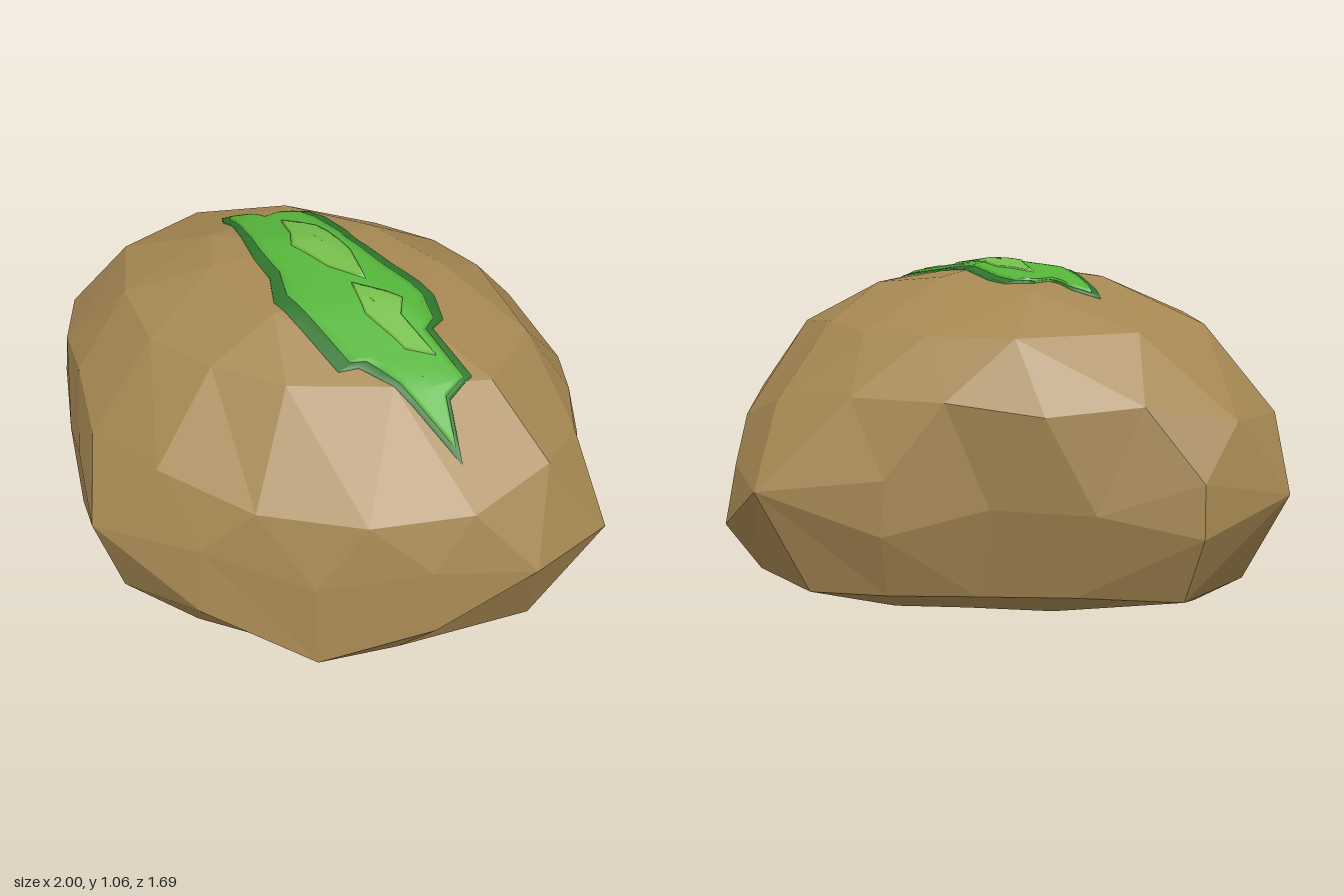
import * as THREE from 'three';
import { ConvexGeometry } from 'three/addons/geometries/ConvexGeometry.js';
import { mergeVertices } from 'three/addons/utils/BufferGeometryUtils.js';

const TAU = Math.PI * 2;
const WAIST = 0.43, TOP = 0.615; // height of the widest corners, and of the dome above them

// Widest loop as [x, y, z], sorted by angle: corners at waist height, dipping between them
const PLAN = [
  [1, 0.43, -0.05], [0.95, 0.43, 0.24], [0.76, 0.26, 0.45], [0.5, 0.14, 0.65], [0.18, 0.25, 0.78],
  [-0.17, 0.43, 0.84], [-0.42, 0.28, 0.64], [-0.6, 0.4, 0.5], [-0.78, 0.28, 0.32],
  [-1, 0.43, 0.04], [-0.9, 0.34, -0.25], [-0.66, 0.4, -0.41], [-0.38, 0.4, -0.52],
  [-0.14, 0.32, -0.7], [0.2, 0.43, -0.85], [0.49, 0.27, -0.7], [0.7, 0.17, -0.46], [0.8, 0.16, -0.22],
].map(([x, y, z]) => ({ angle: (Math.atan2(z, x) + TAU) % TAU, radius: Math.hypot(x, z), y }))
  .sort((a, b) => a.angle - b.angle);

function planAt(angle) {
  const a = (angle + TAU) % TAU, n = PLAN.length;
  for (let i = 0; i < n; i++) {
    const p = PLAN[i], q = PLAN[(i + 1) % n];
    const span = (q.angle - p.angle + TAU) % TAU, d = (a - p.angle + TAU) % TAU;
    if (d <= span) {
      const t = d / span;
      return { radius: THREE.MathUtils.lerp(p.radius, q.radius, t), y: THREE.MathUtils.lerp(p.y, q.y, t) };
    }
  }
  return PLAN[0];
}

function seeded(seed) {
  return () => {
    seed = (seed * 16807) % 2147483647;
    return seed / 2147483647 - 0.5;
  };
}

// Boulder: faceted unit sphere of uneven rings, warped to the plan, a dome and a shallow base
function makeRock() {
  const rand = seeded(77), points = [];
  const add = (angle, h) => {
    const r = Math.sqrt(1 - h * h);
    points.push(new THREE.Vector3(Math.cos(angle) * r, h, Math.sin(angle) * r));
  };
  PLAN.forEach((p, i) => {
    const q = PLAN[(i + 1) % PLAN.length];
    add(p.angle, 0);
    if (p.y < 0.35) add(p.angle, 0.18);
    add(p.angle + ((q.angle - p.angle + TAU) % TAU) / 2, 0.39 + rand() * 0.12);
  });
  for (const [count, h, start] of [[13, 0.72, 0.1], [7, 0.92, 0.3], [16, -0.48, 0.2], [12, -0.72, 0], [7, -0.93, 0.2]])
    for (let i = 0; i < count; i++)
      add(start + ((i + rand() * 0.35) / count) * TAU, h + rand() * 0.06);
  points.push(new THREE.Vector3(0, 1, 0), new THREE.Vector3(0, -1, 0));

  const geometry = new ConvexGeometry(points);
  const pos = geometry.attributes.position;
  for (let i = 0; i < pos.count; i++) {
    const x = pos.getX(i), h = pos.getY(i), z = pos.getZ(i);
    const rho = Math.min(1, Math.hypot(x, z)), angle = Math.atan2(z, x), plan = planAt(angle);
    const up = Math.max(0, h);
    // the cornered plan turns into an oval towards the top, leaning a little to one side
    const oval = 1 / Math.hypot(Math.cos(angle) / 0.97, Math.sin(angle) / 0.73);
    const radius = THREE.MathUtils.lerp(plan.radius, oval, Math.min(1, up * 1.3));
    const base = h > -1e-6 ? WAIST + TOP * h : 0.11 * rho ** 1.25 + 0.32 * rho ** 14;
    const dip = (plan.y - WAIST) * (1 - Math.abs(h)) ** 3;
    pos.setXYZ(i, x * radius - 0.05 * up * rho, Math.max(0, base + dip), z * radius);
  }
  geometry.computeVertexNormals();
  const rock = new THREE.Mesh(geometry, new THREE.MeshStandardMaterial({ color: 0xa58752, flatShading: true }));
  rock.name = 'rock';
  return rock;
}

// Moss layer: rings shrinking from an [x, z] outline to a spine, draped over the rock
function makeMoss(name, rock, outline, spine, color, inset, lift) {
  const ray = new THREE.Raycaster(), down = new THREE.Vector3(0, -1, 0);
  const drape = (x, z, offset) => {
    ray.set(new THREE.Vector3(x, 3, z), down);
    const hit = ray.intersectObject(rock)[0];
    return [x, (hit ? hit.point.y : WAIST) + offset, z];
  };
  const axis = new THREE.Line3(...spine.map(([x, z]) => new THREE.Vector3(x, 0, z)));
  const rim = [];
  outline.forEach(([x, z], i) => {
    const [nx, nz] = outline[(i + 1) % outline.length];
    for (let k = 0; k < 3; k++)
      rim.push(new THREE.Vector3(x + ((nx - x) * k) / 3, 0, z + ((nz - z) * k) / 3));
  });
  const steps = 6, n = rim.length, vertices = [], index = [];
  for (let s = -1; s <= steps; s++) { // the first ring is a skirt tucked into the rock
    const t = inset + (1 - inset) * Math.max(0, s) / steps;
    for (const p of rim) {
      const q = axis.closestPointToPoint(p, true, new THREE.Vector3()).lerp(p, 1 - t);
      vertices.push(...drape(q.x, q.z, s < 0 ? -0.005 : lift));
    }
  }
  for (let s = 0; s <= steps; s++)
    for (let i = 0; i < n; i++) {
      const j = (i + 1) % n, a = s * n + i, b = s * n + j, c = a + n, d = b + n;
      index.push(a, c, b, b, c, d);
    }
  let geometry = new THREE.BufferGeometry();
  geometry.setAttribute('position', new THREE.Float32BufferAttribute(vertices, 3));
  geometry.setIndex(index);
  geometry = mergeVertices(geometry);
  geometry.computeVertexNormals();
  const mesh = new THREE.Mesh(geometry, new THREE.MeshStandardMaterial({ color, side: THREE.DoubleSide }));
  mesh.name = name;
  return mesh;
}

export function createModel() {
  const model = new THREE.Group();
  model.name = 'mossyRock';
  const rock = makeRock();

  const patch = [
    [-0.44, -0.08], [-0.36, -0.11], [-0.27, -0.1], [-0.26, -0.17], [-0.2, -0.22], [-0.13, -0.21],
    [-0.05, -0.17], [0.05, -0.12], [0.22, -0.08], [0.38, -0.06], [0.45, 0], [0.46, 0.07], [0.62, 0.11],
    [0.61, 0.2], [0.71, 0.28], [0.55, 0.29], [0.38, 0.31], [0.34, 0.35], [0.22, 0.32],
    [0.06, 0.28], [-0.02, 0.2], [-0.12, 0.15], [-0.22, 0.08], [-0.33, 0], [-0.4, -0.04],
  ];
  const spine = [[-0.28, -0.07], [0.56, 0.23]];
  const highlights = [
    [[-0.2, -0.08], [-0.08, -0.1], [0.1, -0.03], [0.22, 0.06], [0.1, 0.08], [-0.05, 0.06], [-0.1, 0]],
    [[0.2, 0.1], [0.35, 0.06], [0.38, 0.11], [0.52, 0.14], [0.45, 0.19], [0.3, 0.17]],
  ];
  const highlightSpines = [[[-0.08, -0.04], [0.12, 0.04]], [[0.27, 0.12], [0.43, 0.15]]];

  model.add(
    rock,
    makeMoss('mossEdge', rock, patch, spine, 0x2f742c, 0, 0.006),
    makeMoss('moss', rock, patch, spine, 0x55b43a, 0.2, 0.012),
    ...highlights.map((h, i) => makeMoss('mossHighlight', rock, h, highlightSpines[i], 0x74bd4a, 0, 0.016)),
  );
  return model;
}
